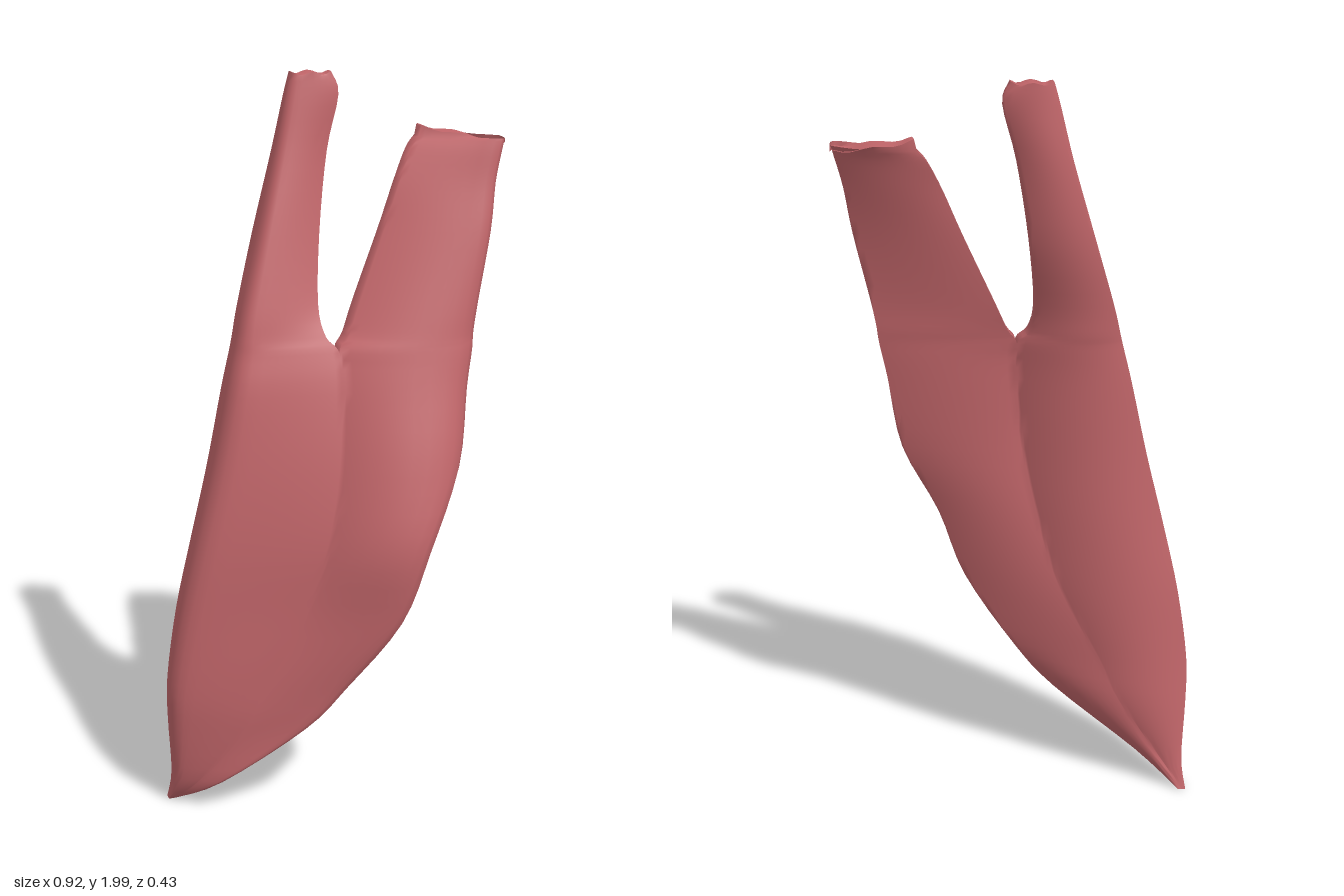
import * as THREE from 'three';
import { mergeVertices, toCreasedNormals } from 'three/addons/utils/BufferGeometryUtils.js';

// Cross-section rows of each half, bottom to top:
// y, xStart, xEnd, front z (start, middle, end), back z (start, middle, end)
const rightHalf = [
  [0.01, -0.46, -0.45, -0.13, -0.13, -0.13, -0.15, -0.15, -0.15],
  [0.10, -0.45, -0.39, -0.08, -0.06, -0.045, -0.13, -0.13, -0.12],
  [0.27, -0.46, -0.28, -0.05, -0.01, 0.02, -0.11, -0.125, -0.10],
  [0.40, -0.46, -0.22, -0.035, 0.01, 0.045, -0.10, -0.12, -0.08],
  [0.60, -0.43, -0.12, -0.015, 0.03, 0.08, -0.10, -0.115, -0.05],
  [0.80, -0.385, -0.06, 0.00, 0.045, 0.10, -0.095, -0.11, -0.03],
  [1.00, -0.335, -0.02, 0.00, 0.04, 0.08, -0.10, -0.105, -0.02],
  [1.20, -0.29, 0.00, -0.01, 0.015, 0.035, -0.11, -0.11, -0.03],
  [1.30, -0.265, 0.00, -0.03, -0.01, 0.00, -0.115, -0.12, -0.045],
  [1.34, -0.255, -0.03, -0.035, -0.025, -0.02, -0.12, -0.13, -0.07],
  [1.42, -0.235, -0.04, -0.05, -0.045, -0.055, -0.135, -0.145, -0.10],
  [1.60, -0.18, -0.02, -0.09, -0.09, -0.105, -0.175, -0.19, -0.16],
  [1.80, -0.12, 0.015, -0.14, -0.135, -0.15, -0.20, -0.213, -0.18],
  [1.94, -0.085, 0.05, -0.165, -0.155, -0.16, -0.205, -0.217, -0.19],
  [1.995, -0.07, 0.035, -0.175, -0.165, -0.17, -0.205, -0.217, -0.19],
];
const leftHalf = [
  [0.01, -0.45, -0.44, -0.13, -0.13, -0.13, -0.15, -0.15, -0.15],
  [0.10, -0.39, -0.33, -0.045, -0.025, -0.01, -0.12, -0.11, -0.07],
  [0.27, -0.28, -0.11, 0.02, 0.05, 0.08, -0.10, -0.06, 0.015],
  [0.40, -0.22, 0.00, 0.045, 0.09, 0.125, -0.08, -0.03, 0.035],
  [0.60, -0.12, 0.13, 0.08, 0.15, 0.20, -0.05, 0.00, 0.075],
  [0.80, -0.06, 0.20, 0.10, 0.195, 0.215, -0.03, 0.00, 0.06],
  [1.00, -0.02, 0.295, 0.08, 0.17, 0.155, -0.02, -0.01, 0.035],
  [1.20, 0.00, 0.33, 0.035, 0.11, 0.105, -0.03, -0.03, 0.01],
  [1.30, 0.00, 0.35, 0.00, 0.08, 0.085, -0.045, -0.04, 0.00],
  [1.34, 0.025, 0.355, -0.015, 0.07, 0.075, -0.055, -0.045, -0.005],
  [1.42, 0.06, 0.37, -0.035, 0.05, 0.065, -0.075, -0.055, -0.01],
  [1.60, 0.14, 0.41, -0.07, 0.005, 0.04, -0.105, -0.085, -0.025],
  [1.72, 0.19, 0.43, -0.09, -0.03, 0.015, -0.125, -0.11, -0.045],
  [1.80, 0.23, 0.45, -0.11, -0.05, 0.005, -0.145, -0.125, -0.06],
  [1.835, 0.26, 0.46, -0.12, -0.065, 0.00, -0.15, -0.135, -0.065],
];

const COLS = 12; // strips across each half
const STEPS = 4; // smooth steps between two rows
const SPLIT = 8; // row where the two heads part

// Smooth interpolation through the rows of a table
function smoothRows(rows) {
  const out = [];
  const last = rows.length - 1;
  for (let s = 0; s <= last * STEPS; s++) {
    const i = Math.min(Math.floor(s / STEPS), last - 1);
    const t = s / STEPS - i;
    const [p, a, b, n] = [i - 1, i, i + 1, i + 2].map((k) => rows[THREE.MathUtils.clamp(k, 0, last)]);
    out.push(a.map((_, k) => {
      const m0 = (b[k] - p[k]) / 2;
      const m1 = (n[k] - a[k]) / 2;
      const d = b[k] - a[k];
      return a[k] + t * m0 + t * t * (3 * d - 2 * m0 - m1) + t * t * t * (m0 + m1 - 2 * d);
    }));
  }
  return out;
}

// Quadratic curve through three depths
const bow = (a, m, b, u) => a * (1 - u) * (1 - 2 * u) + 4 * m * u * (1 - u) + b * u * (2 * u - 1);

// Share of the thickness kept at distance d from an outer edge
function edgeRound(d) {
  const k = 1 - Math.min(d / 0.12, 1);
  return 0.5 + 0.5 * Math.sqrt(1 - k * k);
}

function muscleGeometry() {
  const halves = [smoothRows(rightHalf), smoothRows(leftHalf)];
  const split = SPLIT * STEPS;
  const top = halves[0].length - 1;

  // Below the split both halves share their middle line
  for (let i = 0; i <= split; i++) {
    const [r, l] = [halves[0][i], halves[1][i]];
    l[0] = r[0];
    l[1] = r[2];
    l[3] = r[5];
    l[6] = r[8];
  }

  const positions = [];
  const index = [];
  const quad = (a, b, c, d) => index.push(a, b, c, a, c, d);

  halves.forEach((rows, h) => {
    const base = positions.length / 3;
    const front = (i, j) => base + (i * (COLS + 1) + j) * 2;
    const back = (i, j) => front(i, j) + 1;

    rows.forEach(([y, x0, x1, f0, f1, f2, b0, b1, b2], i) => {
      for (let j = 0; j <= COLS; j++) {
        const u = 0.5 - 0.5 * Math.cos((Math.PI * j) / COLS);
        const x = x0 + (x1 - x0) * u;
        const b = bow(b0, b1, b2, u);
        const f = b + (bow(f0, f1, f2, u) - b) * edgeRound(h ? 1 - u : u);
        // Slightly ragged cut ends; the wide head slopes down outward
        const rag = i === top ? 0.004 * Math.sin(j * 1.3) + (h ? 0.02 * (1 - 2 * u) : 0) : 0;
        positions.push(x, y + rag, f, x, y + rag, b);
      }
    });

    for (let i = 0; i < top; i++) {
      // Front and back surfaces
      for (let j = 0; j < COLS; j++) {
        quad(front(i, j), front(i, j + 1), front(i + 1, j + 1), front(i + 1, j));
        quad(back(i, j + 1), back(i, j), back(i + 1, j), back(i + 1, j + 1));
      }
      // Outer edges, and the inner edges of the parted heads
      if (h === 0 || i >= split) quad(back(i, 0), front(i, 0), front(i + 1, 0), back(i + 1, 0));
      if (h === 1 || i >= split) quad(front(i, COLS), back(i, COLS), back(i + 1, COLS), front(i + 1, COLS));
    }
    // Cut ends
    for (let j = 0; j < COLS; j++) {
      quad(front(top, j), front(top, j + 1), back(top, j + 1), back(top, j));
      quad(back(0, j), back(0, j + 1), front(0, j + 1), front(0, j));
    }
  });

  const geometry = new THREE.BufferGeometry();
  geometry.setAttribute('position', new THREE.Float32BufferAttribute(positions, 3));
  geometry.setIndex(index);
  return toCreasedNormals(mergeVertices(geometry, 1e-4), 1.2);
}

export function createModel() {
  const group = new THREE.Group();
  group.name = 'twoHeadedMuscle';
  const muscleRed = new THREE.MeshStandardMaterial({ color: 0xc2666a });
  muscleRed.name = 'muscleRed';
  const muscle = new THREE.Mesh(muscleGeometry(), muscleRed);
  muscle.name = 'muscleBellyAndHeads';
  group.add(muscle);
  return group;
}
